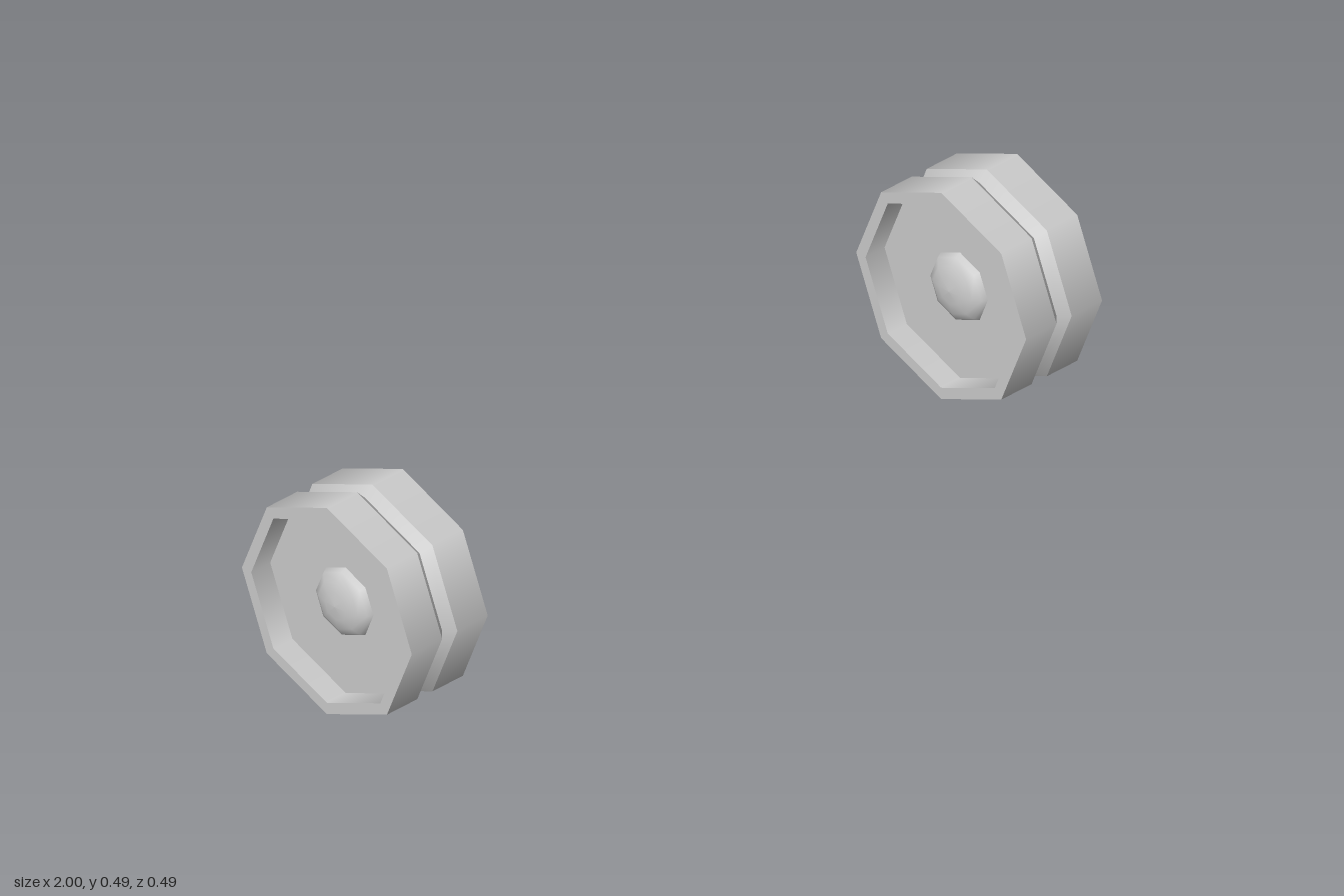
import * as THREE from 'three';
import { mergeGeometries } from 'three/addons/utils/BufferGeometryUtils.js';

const SIDES = 8, R = 0.246, HALF = 0.11, FLOOR = 0.055;
const material = new THREE.MeshStandardMaterial({ color: 0xcccccc });

// Lathe around x: smooth around the axis, sharp between profile segments
function creasedLathe(profile) {
  const bands = [];
  for (let i = 0; i < profile.length - 1; i++) {
    const pts = [profile[i], profile[i + 1]].map(([r, y]) => new THREE.Vector2(r, y));
    bands.push(new THREE.LatheGeometry(pts, SIDES));
  }
  return mergeGeometries(bands).rotateZ(-Math.PI / 2);
}

function part(name, geometry) {
  const mesh = new THREE.Mesh(geometry, material);
  mesh.name = name;
  return mesh;
}

function createWheel(name) {
  const wheel = new THREE.Group();
  wheel.name = name;

  // Tyre with a central V groove and a recessed disc on each face
  wheel.add(part('tyre', creasedLathe([
    [0, -FLOOR], [0.219, -FLOOR], [0.219, -HALF], [R, -HALF],
    [R, -0.022], [R - 0.022, 0], [R, 0.022],
    [R, HALF], [0.219, HALF], [0.219, FLOOR], [0, FLOOR],
  ])));

  // Shallow domed hub on both faces
  const dome = [];
  for (let i = 0; i <= 4; i++) {
    const a = (i / 4) * Math.PI / 2;
    dome.push(new THREE.Vector2(i === 4 ? 0 : 0.08 * Math.cos(a), FLOOR + 0.033 * Math.sin(a)));
  }
  for (const side of [1, -1]) {
    const geometry = new THREE.LatheGeometry(dome, SIDES).rotateZ(-side * Math.PI / 2);
    wheel.add(part(side > 0 ? 'leftHub' : 'rightHub', geometry));
  }
  return wheel;
}

export function createModel() {
  const model = new THREE.Group();
  model.name = 'wheelPair';
  for (const side of [1, -1]) {
    const wheel = createWheel(side > 0 ? 'leftWheel' : 'rightWheel');
    wheel.position.set(side * (1 - HALF), R, 0);
    model.add(wheel);
  }
  return model;
}
